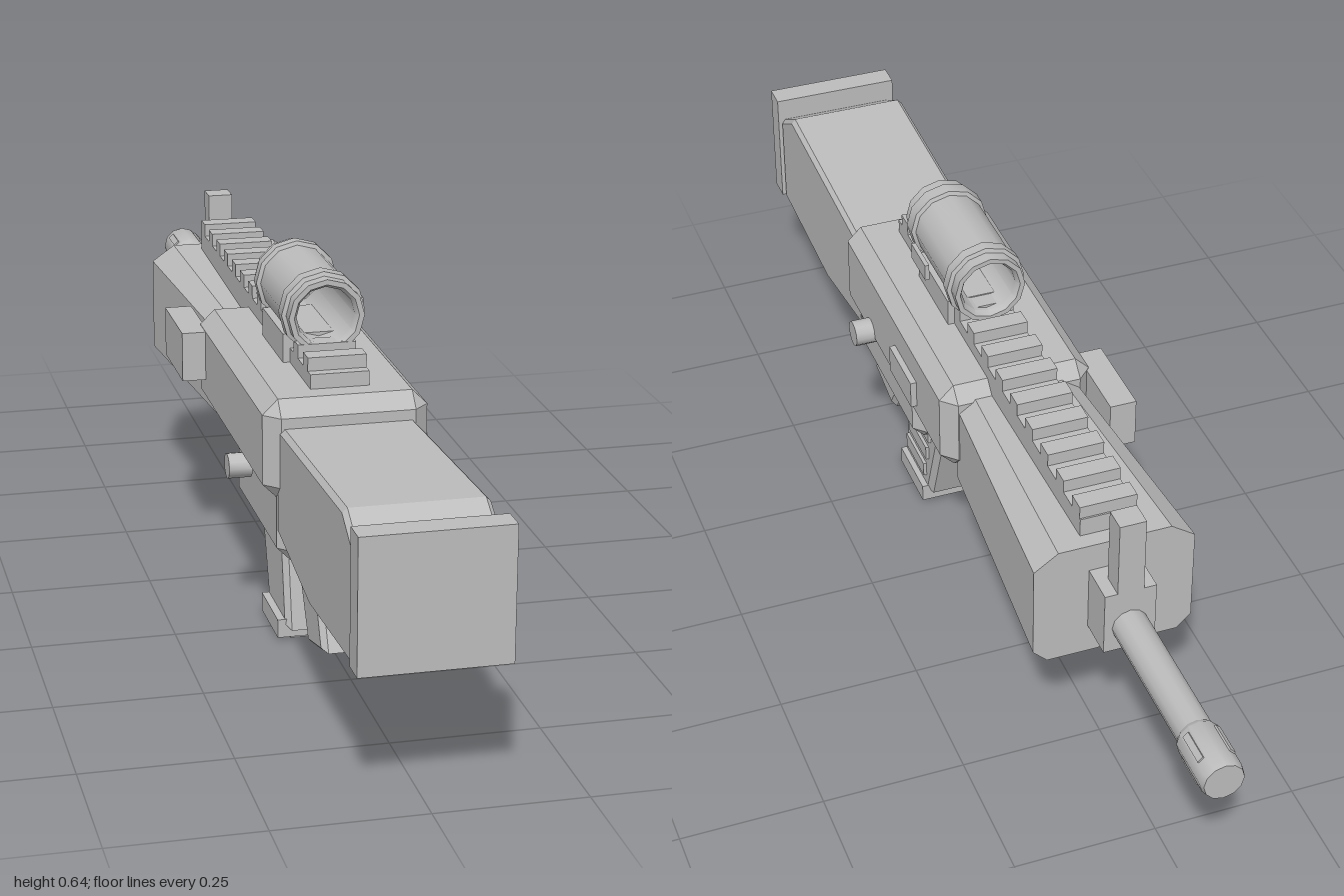
import * as THREE from 'three';
import { toCreasedNormals } from 'three/addons/utils/BufferGeometryUtils.js';
import { ConvexGeometry } from 'three/addons/geometries/ConvexGeometry.js';

const grey = new THREE.MeshStandardMaterial({ color: 0xbcbcbc });
grey.name = 'plain grey';

export function createModel() {
  const model = new THREE.Group();
  model.name = 'rifle';

  const group = (name, parent) => {
    const g = new THREE.Group();
    g.name = name;
    parent.add(g);
    return g;
  };

  // Symmetric parts share a centre plane just left of the middle
  const body = group('body', model);
  body.position.x = 0.003;

  const add = (name, geometry, parent = body) => {
    const mesh = new THREE.Mesh(geometry, grey);
    mesh.name = name;
    parent.add(mesh);
    return mesh;
  };

  // Box given by its extents on each axis
  const box = (x0, x1, y0, y1, z0, z1) =>
    new THREE.BoxGeometry(x1 - x0, y1 - y0, z1 - z0)
      .translate((x0 + x1) / 2, (y0 + y1) / 2, (z0 + z1) / 2);

  // Box with every edge chamfered by c
  const chamferBox = (x0, x1, y0, y1, z0, z1, c) => {
    const h = [(x1 - x0) / 2, (y1 - y0) / 2, (z1 - z0) / 2];
    const points = [];
    for (const sx of [-1, 1]) for (const sy of [-1, 1]) for (const sz of [-1, 1])
      for (let full = 0; full < 3; full++) {
        const [a, b, d] = h.map((v, i) => (i === full ? v : v - c));
        points.push(new THREE.Vector3(a * sx, b * sy, d * sz));
      }
    return new ConvexGeometry(points)
      .translate((x0 + x1) / 2, (y0 + y1) / 2, (z0 + z1) / 2);
  };

  // Side profile of [z, y] points, extruded across x with chamfered edges
  const sideSlab = (profile, halfWidth, bevel) => {
    const shape = new THREE.Shape(profile.map(([z, y]) => new THREE.Vector2(z, y)));
    const depth = 2 * (halfWidth - bevel);
    return new THREE.ExtrudeGeometry(shape, {
      depth, bevelEnabled: true, bevelSegments: 1,
      bevelThickness: bevel, bevelSize: bevel, bevelOffset: -bevel,
    }).translate(0, 0, -depth / 2).rotateY(-Math.PI / 2);
  };

  // Turned part along z from [radius, z] points
  const turned = (profile, y, sides) => {
    const g = new THREE.LatheGeometry(profile.map(([r, z]) => new THREE.Vector2(r, z)), sides);
    return toCreasedNormals(g.rotateX(Math.PI / 2), 0.6).translate(0, y, 0);
  };

  // Stock and butt plate
  add('stock', sideSlab([[0.957, 0.41], [0.88, 0.455], [0.44, 0.435],
    [0.44, 0.248], [0.67, 0.21], [0.957, 0.227]], 0.115, 0.008));
  add('buttPlate', box(-0.121, 0.121, 0.233, 0.455, 0.955, 1));

  // Receiver
  add('upperReceiver', chamferBox(-0.139, 0.139, 0.308, 0.48, -0.108, 0.463, 0.026));
  add('lowerReceiver', chamferBox(-0.116, 0.116, 0.2, 0.36, 0.12, 0.463, 0.022));

  // Handguard, flaring towards the muzzle
  const section = (z, w, y0, y1, c) => [-1, 1].flatMap((s) => [
    [w - c, y1], [w, y1 - c * 0.7], [w, y0 + 0.025], [w - 0.025, y0],
  ].map(([x, y]) => new THREE.Vector3(s * x, y, z)));
  add('handguard', new ConvexGeometry([
    ...section(-0.09, 0.11, 0.257, 0.457, 0.03),
    ...section(-0.55, 0.141, 0.245, 0.472, 0.042),
  ]));

  // Barrel and muzzle
  const barrel = group('barrelAssembly', body);
  add('barrel', turned([[0, -0.95], [0.031, -0.95], [0.031, -0.54], [0, -0.54]], 0.348, 12), barrel);
  add('muzzle', turned([[0, -1], [0.034, -1], [0.037, -0.99], [0.037, -0.9], [0.031, -0.89], [0, -0.89]],
    0.348, 12), barrel);
  for (let i = 0; i < 4; i++) {
    const rib = add('muzzleRib', box(-0.006, 0.006, 0.03, 0.039, -0.968, -0.91), barrel);
    rib.position.y = 0.348;
    rib.rotation.z = Math.PI / 4 + (i * Math.PI) / 2;
  }

  // Front sight
  add('frontSightBase', box(-0.045, 0.045, 0.3, 0.42, -0.62, -0.545));
  add('frontSightPost', box(-0.023, 0.023, 0.41, 0.56, -0.62, -0.577));

  // Top rail with teeth
  const rail = group('topRail', body);
  add('railBase', box(-0.05, 0.05, 0.45, 0.505, -0.52, 0.4), rail);
  for (let i = 0; i < 13; i++) {
    const z = -0.5 + i * 0.072;
    add('railTooth', box(-0.05, 0.05, 0.5, 0.528, z - 0.017, z + 0.017), rail);
  }

  // Open scope tube with bevelled mouths and raised rings
  const scope = group('scope', body);
  add('scopeTube', turned([[0.05, 0.05], [0.056, 0.04], [0.065, 0.04], [0.065, 0.308],
    [0.056, 0.308], [0.05, 0.298], [0.05, 0.05]], 0.573, 12), scope);
  for (const [z, half] of [[0.075, 0.015], [0.27, 0.018]]) {
    add('scopeRing', turned([[0.06, z - half], [0.072, z - half + 0.005],
      [0.072, z + half - 0.005], [0.06, z + half]], 0.573, 12), scope);
  }
  add('scopeMount', box(-0.062, 0.062, 0.47, 0.53, 0.09, 0.25), scope);
  add('scopeSidePlate', box(0.077, 0.085, 0.545, 0.576, 0.145, 0.22), scope);

  // Magazine with side ribs and base
  const magazine = group('magazine', body);
  add('magazineBody', sideSlab([[0.282, 0.24], [0.12, 0.24], [0.12, 0.195],
    [0.185, 0.02], [0.325, 0.02]], 0.073, 0.01), magazine);
  add('magazineBase', box(-0.086, 0.084, 0.005, 0.038, 0.188, 0.315), magazine);
  add('magazineFoot', box(-0.062, 0.062, 0, 0.01, 0.195, 0.308), magazine);
  for (let i = 0; i < 3; i++) {
    const y = 0.073 + i * 0.05;
    const z = 0.245 - i * 0.015;
    add('magazineRib', box(0.07, 0.079, y - 0.014, y + 0.014, z - 0.05, z + 0.05), magazine);
  }

  // Grip and trigger
  add('grip', sideSlab([[0.46, 0.24], [0.315, 0.24], [0.436, 0.043], [0.545, 0.07]], 0.062, 0.01));
  add('triggerGuard', box(-0.02, 0.02, 0.13, 0.148, 0.29, 0.39));
  add('trigger', box(-0.012, 0.012, 0.182, 0.21, 0.29, 0.335));

  // Controls on the sides
  const controls = group('sideControls', model);
  const knob = (name, x0, x1, y, z, r) => add(name, toCreasedNormals(
    new THREE.CylinderGeometry(r, r, x1 - x0, 12).rotateZ(Math.PI / 2), 0.6)
    .translate((x0 + x1) / 2, y, z), controls);
  knob('leftKnob', 0.12, 0.177, 0.338, 0.308, 0.024);
  knob('rightKnob', -0.16, -0.12, 0.308, 0.265, 0.022);
  add('sidePlate', box(0.13, 0.153, 0.352, 0.404, 0.043, 0.162), controls);
  add('chargingBlock', box(-0.178, -0.13, 0.364, 0.453, -0.2, -0.035), controls);

  return model;
}
